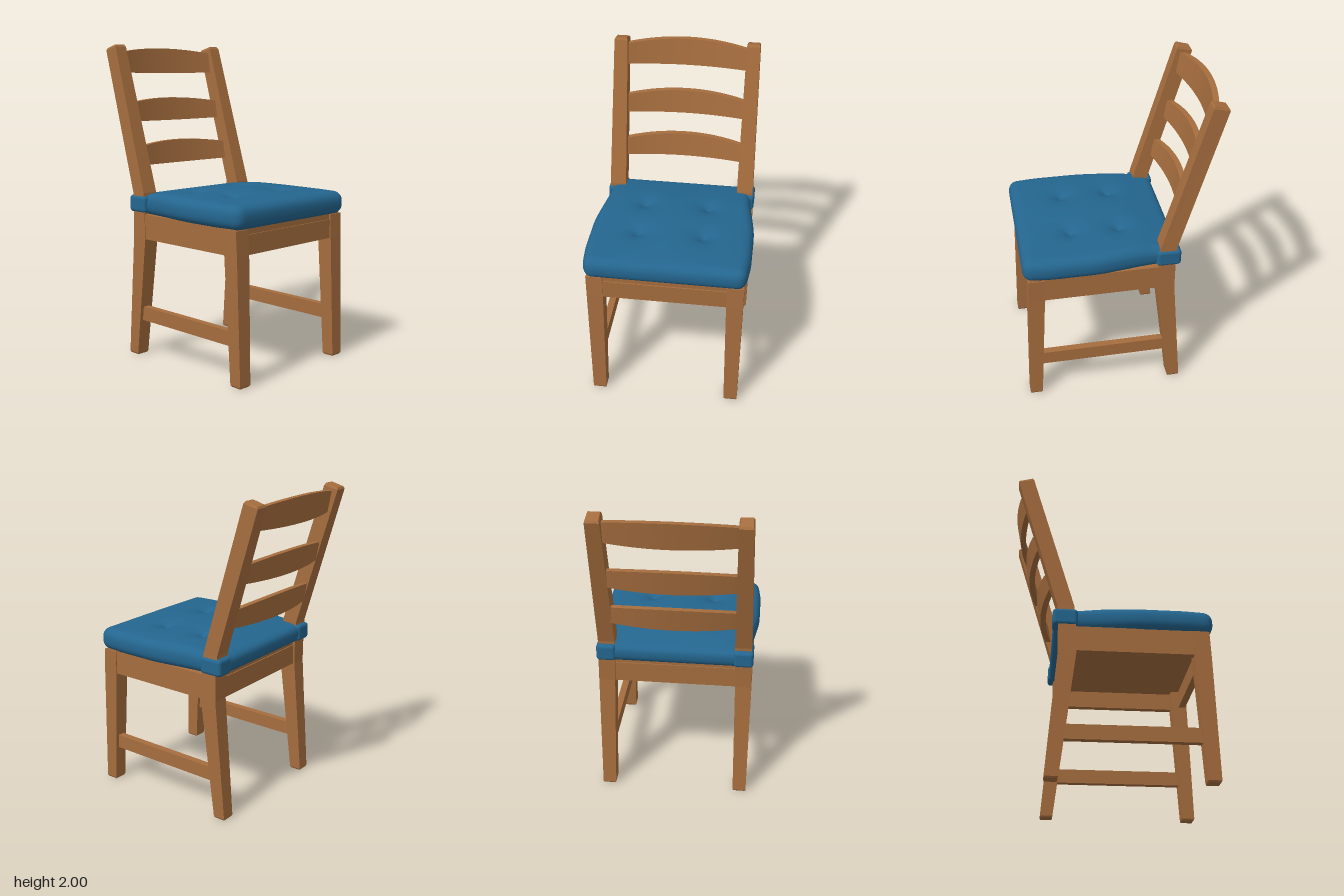
import * as THREE from 'three';
import { mergeVertices } from 'three/addons/utils/BufferGeometryUtils.js';
import { RoundedBoxGeometry } from 'three/addons/geometries/RoundedBoxGeometry.js';

const wood = new THREE.MeshStandardMaterial({ color: 0xa56d3e });
wood.name = 'wood';
const fabric = new THREE.MeshStandardMaterial({ color: 0x24668f });
fabric.name = 'blue fabric';

function add(group, name, geometry, material, x = 0, y = 0, z = 0) {
  const mesh = new THREE.Mesh(geometry, material);
  mesh.name = name;
  mesh.position.set(x, y, z);
  group.add(mesh);
  return mesh;
}

// Four-sided beam through sections [y, xInner, xOuter, zBack, zFront, backDrop]
function beam(sections, side) {
  const pos = [], index = [];
  for (const [y, xi, xo, zb, zf, drop = 0] of sections) {
    const x0 = Math.min(xi * side, xo * side), x1 = Math.max(xi * side, xo * side);
    pos.push(x0, y, zf, x1, y, zf, x1, y - drop, zb, x0, y - drop, zb);
  }
  for (let i = 0; i < sections.length - 1; i++) {
    for (let k = 0; k < 4; k++) {
      const a = i * 4 + k, b = i * 4 + (k + 1) % 4;
      index.push(a, b, b + 4, a, b + 4, a + 4);
    }
  }
  const t = (sections.length - 1) * 4;
  index.push(0, 2, 1, 0, 3, 2, t, t + 1, t + 2, t, t + 2, t + 3);
  const g = new THREE.BufferGeometry();
  g.setAttribute('position', new THREE.Float32BufferAttribute(pos, 3));
  g.setIndex(index);
  const flat = g.toNonIndexed();
  flat.computeVertexNormals();
  return flat;
}

// Back slat: bowed backward, leaning, with an arched top edge
function slatGeometry(bottom, height, zBack) {
  const g = new THREE.BoxGeometry(0.8, 1, 1, 20, 1, 1);
  const p = g.attributes.position;
  for (let i = 0; i < p.count; i++) {
    const x = p.getX(i), up = p.getY(i) + 0.5, front = p.getZ(i) + 0.5;
    const bow = 1 - (x / 0.39) ** 2;
    const y = bottom + (up ? height - 0.03 * (1 - bow) : 0.006 * (1 - bow));
    p.setY(i, y);
    p.setZ(i, zBack + 0.05 * (1 - bow) - 0.18 * (y - bottom) + 0.036 * front);
  }
  g.computeVertexNormals();
  return g;
}

// Padded cushion: rounded slab, tapered to the back, domed and tufted
function cushionGeometry() {
  const W = 0.512, H = 0.072, D = 0.484, r = 0.06;
  let g = new THREE.BoxGeometry(W * 2, H * 2, D * 2, 64, 8, 64);
  g.deleteAttribute('normal');
  g.deleteAttribute('uv');
  g = mergeVertices(g);
  const p = g.attributes.position, v = new THREE.Vector3(), q = new THREE.Vector3();
  const inner = new THREE.Vector3(W - r, H - r, D - r);
  for (let i = 0; i < p.count; i++) {
    v.fromBufferAttribute(p, i);
    q.copy(v).clamp(inner.clone().negate(), inner);
    v.sub(q).setLength(r).add(q);
    let { x, y, z } = v;
    z += 0.126;
    x *= 1 - 0.09 * THREE.MathUtils.smoothstep(-z, -0.2, 0.25);
    x *= 1 - 0.03 * THREE.MathUtils.smoothstep(z, 0.4, 0.61);
    if (y > 0) {
      const top = y / H;
      const dome = Math.max(0, 1 - (x / 0.48) ** 2) * Math.max(0, 1 - ((z - 0.14) / 0.45) ** 2);
      let h = 0.026 * dome - 0.018 * THREE.MathUtils.smoothstep(-z, 0.05, 0.35);
      for (const tz of [-0.02, 0.285]) {
        h -= 0.05 * Math.exp(-Math.hypot(Math.abs(x) - 0.205, z - tz) / 0.05);
      }
      y += h * top;
    }
    p.setXYZ(i, x, y + 1.0, z);
  }
  g.computeVertexNormals();
  return g;
}

export function createModel() {
  const chair = new THREE.Group();
  chair.name = 'chair';

  for (const side of [1, -1]) {
    const label = side > 0 ? 'left' : 'right';
    // Legs; the rear ones carry on up as back posts
    add(chair, label + 'FrontLeg', beam([
      [0, 0.395, 0.47, 0.535, 0.605],
      [0.01, 0.39, 0.476, 0.53, 0.61],
      [0.78, 0.38, 0.482, 0.485, 0.587],
      [0.93, 0.38, 0.484, 0.48, 0.58],
    ], side), wood);
    add(chair, label + 'RearLegAndPost', beam([
      [0, 0.395, 0.47, -0.385, -0.315],
      [0.01, 0.39, 0.476, -0.39, -0.31],
      [0.78, 0.38, 0.482, -0.328, -0.217],
      [0.95, 0.375, 0.48, -0.33, -0.225],
      [1.07, 0.372, 0.476, -0.337, -0.235],
      [1.985, 0.378, 0.463, -0.605, -0.508, 0.02],
      [2, 0.385, 0.456, -0.598, -0.518, 0.022],
    ], side), wood);

    // Side rails and stretchers
    add(chair, label + 'Apron', new THREE.BoxGeometry(0.045, 0.13, 0.76), wood, side * 0.455, 0.843, 0.13);
    add(chair, label + 'Stretcher', new THREE.BoxGeometry(0.045, 0.09, 0.83), wood, side * 0.433, 0.28, 0.12);

    // Cushion strap wrapped round the post
    add(chair, label + 'Strap', new RoundedBoxGeometry(0.122, 0.108, 0.152, 3, 0.022),
      fabric, side * 0.427, 0.997, -0.289);
  }

  // Seat frame
  add(chair, 'frontApron', new THREE.BoxGeometry(0.8, 0.12, 0.045), wood, 0, 0.838, 0.555);
  add(chair, 'rearApron', new THREE.BoxGeometry(0.8, 0.13, 0.045), wood, 0, 0.843, -0.295);
  add(chair, 'seatBoard', new THREE.BoxGeometry(0.955, 0.045, 0.88), wood, 0, 0.913, 0.13);

  // Back slats: bottom height, height, rear z at the bottom
  [[1.225, 0.15, -0.434], [1.505, 0.15, -0.515], [1.818, 0.166, -0.586]].forEach((s, i) =>
    add(chair, 'backSlat' + (i + 1), slatGeometry(...s), wood));

  add(chair, 'cushion', cushionGeometry(), fabric);
  return chair;
}
